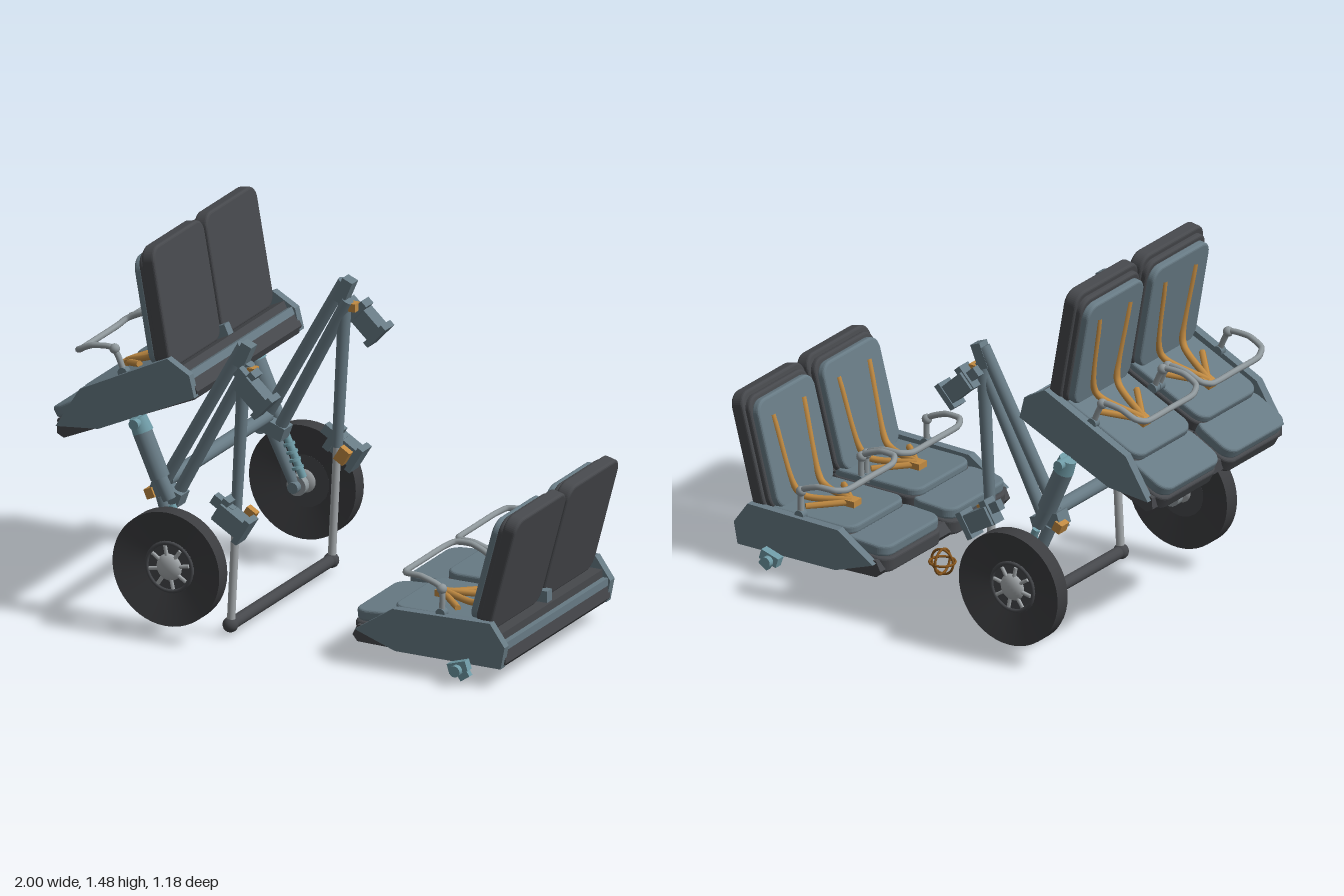
import * as THREE from 'three';

const mat = (name, color, side = THREE.FrontSide) => Object.assign(new THREE.MeshStandardMaterial({ color, side }), { name });
const slate = mat('slate paint', 0x677a84);
const dark = mat('dark padding', 0x46484c);
const rubber = mat('rubber', 0x3c3d40, THREE.DoubleSide);
const steel = mat('light steel', 0xa6abae);
const grey = mat('grey tube', 0x8f989c);
const teal = mat('teal fitting', 0x6f9ba6);
const orange = mat('orange webbing', 0xc08a42);
const bronze = mat('bronze', 0x87551c);
const V = (x, y, z) => new THREE.Vector3(x, y, z);

function add(parent, name, geo, material, x = 0, y = 0, z = 0, rz = 0) {
  const m = new THREE.Mesh(geo, material);
  m.name = name;
  m.position.set(x, y, z);
  m.rotation.z = rz;
  parent.add(m);
  return m;
}

const box = (g, name, m, w, h, d, x, y, z, rz = 0) => add(g, name, new THREE.BoxGeometry(w, h, d), m, x, y, z, rz);

// Straight tube between two points
function bar(g, name, m, a, b, r, r2 = r, sides = 14) {
  const dir = b.clone().sub(a);
  const mesh = add(g, name, new THREE.CylinderGeometry(r2, r, dir.length(), sides), m);
  mesh.position.copy(a).add(b).multiplyScalar(0.5);
  mesh.quaternion.setFromUnitVectors(V(0, 1, 0), dir.normalize());
  return mesh;
}

// Pin along z
const pin = (g, name, m, x, y, z, r, len) => bar(g, name, m, V(x, y, z - len / 2), V(x, y, z + len / 2), r, r, 18);

// Bent tube through points, with tight corners
function bentTube(g, name, m, pts, r) {
  const path = [pts[0]];
  for (let i = 1; i < pts.length; i++)
    path.push(pts[i - 1].clone().lerp(pts[i], 0.12), pts[i - 1].clone().lerp(pts[i], 0.88));
  path.push(pts.at(-1));
  return add(g, name, new THREE.TubeGeometry(new THREE.CatmullRomCurve3(path), 60, r, 8), m);
}

// Rounded cushion lying in the XY plane, thickness along z
function cushion(w, h, t, r = 0.045) {
  const b = 0.01, x = w / 2 - b, y = h / 2 - b;
  const s = new THREE.Shape();
  s.moveTo(-x + r, -y);
  s.absarc(x - r, -y + r, r, -Math.PI / 2, 0);
  s.absarc(x - r, y - r, r, 0, Math.PI / 2);
  s.absarc(-x + r, y - r, r, Math.PI / 2, Math.PI);
  s.absarc(-x + r, -y + r, r, Math.PI, Math.PI * 1.5);
  return new THREE.ExtrudeGeometry(s, { depth: t - 2 * b, bevelSize: b, bevelThickness: b, bevelSegments: 3, curveSegments: 6 })
    .translate(0, 0, -t / 2 + b);
}
const flatCushion = (w, d, t) => cushion(w, d, t).rotateX(Math.PI / 2);
const backCushion = (w, h, t) => cushion(w, h, t).rotateY(Math.PI / 2);

// Side profile extruded across z
function profile(pts, width) {
  const s = new THREE.Shape(pts.map(p => new THREE.Vector2(...p)));
  return new THREE.ExtrudeGeometry(s, { depth: width, bevelEnabled: false }).translate(0, 0, -width / 2);
}

// One seat place: cushions, harness and lap bar
function seatPlace(zc) {
  const g = new THREE.Group();
  g.name = 'seatPlace';
  g.position.z = zc;
  add(g, 'frontFlapPad', flatCushion(0.2, 0.385, 0.06), dark, 0.395, 0.13, 0, 0.06);
  add(g, 'frontFlap', flatCushion(0.2, 0.38, 0.045), slate, 0.4, 0.185, 0, 0.06);
  add(g, 'seatPad', flatCushion(0.4, 0.39, 0.05), dark, 0.66, 0.19, 0);
  add(g, 'seatCushion', flatCushion(0.4, 0.37, 0.035), slate, 0.66, 0.225, 0);
  const lean = -0.26;
  add(g, 'backRear', backCushion(0.415, 0.475, 0.055), dark, 0.918, 0.438, 0, lean);
  add(g, 'backMiddle', backCushion(0.39, 0.45, 0.03), dark, 0.883, 0.437, 0, lean);
  add(g, 'backFront', backCushion(0.37, 0.43, 0.035), slate, 0.855, 0.435, 0, lean);
  box(g, 'buckle', orange, 0.05, 0.025, 0.05, 0.585, 0.255, 0);
  for (const s of [-1, 1]) {
    bar(g, 'lapBelt', orange, V(0.585, 0.255, 0), V(0.71, 0.25, s * 0.125), 0.013, 0.013, 6);
    bentTube(g, 'shoulderBelt', orange,
      [V(0.585, 0.26, 0), V(0.785, 0.262, s * 0.075), V(0.88, 0.575, s * 0.1)], 0.0135);
    add(g, 'lapBarJoint', new THREE.SphereGeometry(0.02, 14, 10), grey, 0.68, 0.345, s * 0.198);
    pin(g, 'lapBarFoot', slate, 0.68, 0.25, s * 0.198, 0.02, 0.03);
    bentTube(g, 'lapBar', grey, [V(0.68, 0.23, s * 0.198), V(0.68, 0.35, s * 0.198), V(0.6, 0.385, s * 0.205),
      V(0.53, 0.385, s * 0.2), V(0.505, 0.375, s * 0.15), V(0.505, 0.375, 0)], 0.012);
  }
  return g;
}

// Double bench facing -x
function bench(name) {
  const g = new THREE.Group();
  g.name = name;
  add(g, 'basePan', profile([[0.31, 0.11], [0.33, 0.085], [0.93, 0.07], [0.955, 0.095], [0.95, 0.145], [0.33, 0.15]], 0.85), dark);
  box(g, 'rearSill', slate, 0.075, 0.03, 0.86, 0.915, 0.16, 0);
  box(g, 'rearStep', dark, 0.06, 0.03, 0.85, 0.9, 0.19, 0);
  for (const s of [-1, 1]) {
    add(g, 'sidePanel', profile([[0.33, 0.14], [0.49, 0.245], [0.9, 0.252], [0.962, 0.165], [0.945, 0.078], [0.5, 0.08]], 0.035), slate, 0, 0, s * 0.43);
    g.add(seatPlace(s * 0.2145));
  }
  box(g, 'centreBracket', slate, 0.06, 0.06, 0.04, 0.89, 0.22, 0);
  return g;
}

// Dished wheel with a spoked hub, outer side towards +z
function wheel() {
  const g = new THREE.Group();
  g.name = 'wheel';
  const lathe = pts => new THREE.LatheGeometry(pts.map(p => new THREE.Vector2(...p)), 48).rotateX(Math.PI / 2);
  add(g, 'tread', lathe([[0.225, -0.033], [0.225, 0.033]]), rubber);
  add(g, 'outerDish', lathe([[0.225, 0.033], [0.1, 0.003]]), rubber);
  add(g, 'innerDish', lathe([[0.1, -0.014], [0.225, -0.033]]), rubber);
  pin(g, 'hubPlate', dark, 0, 0, -0.005, 0.104, 0.02);
  add(g, 'hubRing', new THREE.TorusGeometry(0.095, 0.008, 8, 32), dark, 0, 0, 0.004);
  add(g, 'hubCap', new THREE.SphereGeometry(0.054, 24, 16).scale(1, 1, 0.55), steel);
  for (let i = 0; i < 8; i++) {
    const a = i * Math.PI / 4 + 0.2, c = Math.cos(a), s = Math.sin(a);
    bar(g, 'spoke', steel, V(c * 0.04, s * 0.04, 0.008), V(c * 0.085, s * 0.085, 0.006), 0.008, 0.008, 6);
  }
  return g;
}

// One side of the frame, built for +z
function frameSide() {
  const g = new THREE.Group();
  g.name = 'frameSide';
  const z = 0.41;
  // Long sloping beams and leg
  bar(g, 'upperBeam', slate, V(-0.54, 0.51, z), V(-0.175, 1.16, z), 0.024);
  bar(g, 'lowerBeam', slate, V(-0.45, 0.53, z), V(-0.155, 1.09, z - 0.01), 0.024);
  box(g, 'apexBlock', slate, 0.045, 0.1, 0.05, -0.17, 1.125, z, -0.4);
  bar(g, 'legSleeve', slate, V(-0.205, 0.5, z), V(-0.172, 1.08, z), 0.021, 0.026);
  bar(g, 'legTube', steel, V(-0.228, 0.05, z), V(-0.205, 0.5, z), 0.016);
  add(g, 'footBall', new THREE.SphereGeometry(0.03, 18, 12), dark, -0.23, 0.045, z);
  box(g, 'upperLatch', orange, 0.03, 0.032, 0.04, -0.135, 1.065, z);
  box(g, 'lowerLatch', orange, 0.045, 0.06, 0.03, -0.165, 0.48, z - 0.03, -0.55);
  // Upper and lower clamp boxes
  for (const [x, y, r] of [[-0.1, 0.995, -0.75], [-0.195, 0.48, -0.55]]) {
    const c = new THREE.Group();
    c.name = 'clamp';
    c.position.set(x, y, z + 0.05);
    c.rotation.z = r;
    box(c, 'clampBody', slate, 0.13, 0.075, 0.065, 0, 0, 0);
    box(c, 'clampPlate', slate, 0.025, 0.11, 0.075, 0.06, 0, 0);
    box(c, 'clampRear', slate, 0.03, 0.1, 0.06, -0.055, 0.01, -0.01);
    g.add(c);
    box(g, 'clampArm', slate, 0.09, 0.04, 0.035, x - 0.045, y + 0.05, z + 0.04, r);
  }
  // Strut holding the raised bench
  bar(g, 'strutSleeve', slate, V(-0.5, 0.6, z + 0.05), V(-0.575, 0.77, z + 0.05), 0.038);
  bar(g, 'strutRod', slate, V(-0.46, 0.52, z + 0.05), V(-0.5, 0.6, z + 0.05), 0.027);
  bar(g, 'strutCollar', teal, V(-0.572, 0.77, z + 0.05), V(-0.595, 0.825, z + 0.05), 0.041, 0.034);
  pin(g, 'strutPin', teal, -0.585, 0.81, z + 0.07, 0.02, 0.07);
  // Beam foot and wheel arm
  box(g, 'beamFoot', slate, 0.13, 0.055, 0.07, -0.485, 0.535, z + 0.01, -0.35);
  box(g, 'footLatch', orange, 0.035, 0.04, 0.05, -0.545, 0.53, z + 0.03, 0.4);
  bar(g, 'wheelArm', slate, V(-0.5, 0.52, z + 0.03), V(-0.42, 0.3, z + 0.06), 0.026, 0.02);
  bar(g, 'damper', teal, V(-0.45, 0.5, z + 0.05), V(-0.38, 0.33, z + 0.06), 0.015);
  for (let i = 0; i < 4; i++)
    bar(g, 'damperRing', teal, V(-0.435 + i * 0.012, 0.462 - i * 0.029, z + 0.05), V(-0.431 + i * 0.012, 0.452 - i * 0.029, z + 0.05), 0.023);
  pin(g, 'axle', slate, -0.41, 0.29, z + 0.09, 0.022, 0.12);
  pin(g, 'axleHub', grey, -0.41, 0.29, z + 0.075, 0.04, 0.03);
  const w = wheel();
  w.position.set(-0.41, 0.29, 0.555);
  g.add(w);
  return g;
}

export function createModel() {
  const model = new THREE.Group();
  model.name = 'twinBenchCarrier';

  // Lower bench on the ground, with its free mounting lugs
  const lower = bench('lowerBench');
  lower.position.z = 0.035;
  for (const s of [-1, 1]) {
    pin(lower, 'lugPin', teal, 0.78, 0.06, s * 0.46, 0.022, 0.09);
    box(lower, 'lug', teal, 0.08, 0.04, 0.035, 0.78, 0.07, s * 0.465, 0.3);
    box(lower, 'lugHook', teal, 0.045, 0.04, 0.025, 0.8, 0.045, s * 0.465, 0.6);
  }
  model.add(lower);

  // Raised bench, tilted back on the frame
  const raised = bench('raisedBench');
  const tilt = 0.435, c = Math.cos(tilt), s = Math.sin(tilt);
  raised.rotation.z = tilt;
  raised.position.set(-0.385 - (0.955 * c - 0.15 * s), 1.0 - (0.955 * s + 0.15 * c), 0);
  model.add(raised);

  // Mirrored frame sides joined by cross tubes
  for (const side of [1, -1]) {
    const f = frameSide();
    if (side < 0) f.scale.z = -1;
    model.add(f);
  }
  bar(model, 'footBar', dark, V(-0.23, 0.045, -0.41), V(-0.23, 0.045, 0.41), 0.024);
  bar(model, 'crossTube', slate, V(-0.5, 0.575, -0.41), V(-0.5, 0.575, 0.41), 0.028);

  // Small ring cage
  const cage = new THREE.Group();
  cage.name = 'ringCage';
  cage.position.set(0.25, 0.055, -0.07);
  for (const [rx, ry] of [[0, 0], [Math.PI / 2, 0], [0, Math.PI / 2]])
    add(cage, 'cageRing', new THREE.TorusGeometry(0.049, 0.005, 8, 32), bronze).rotation.set(rx, ry, 0);
  model.add(cage);
  return model;
}
